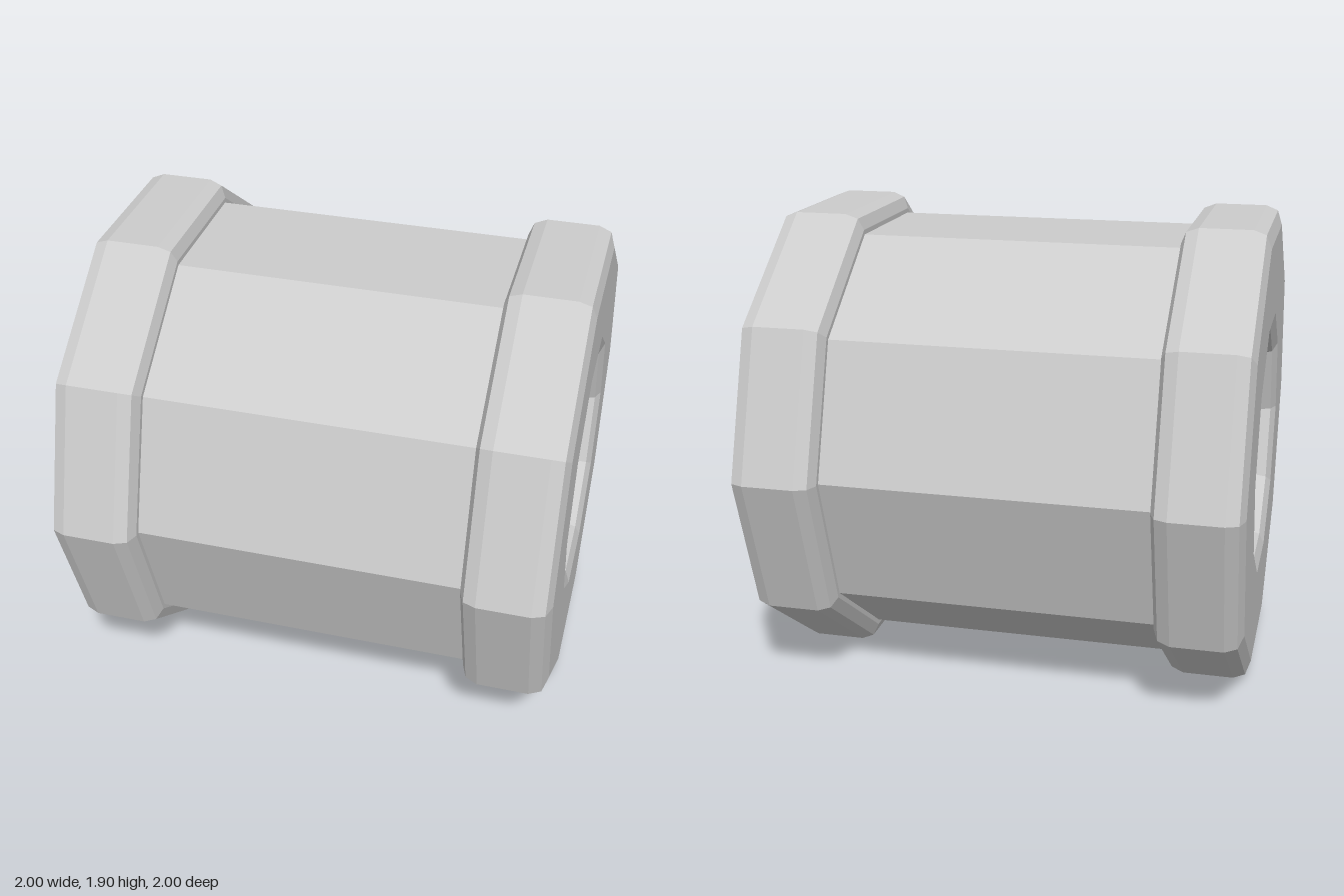
import * as THREE from 'three';

const SIDES = 10;
const CENTRE_Y = 0.951;

export function createModel() {
  const model = new THREE.Group();
  model.name = 'spool';
  const grey = new THREE.MeshStandardMaterial({ color: 0xcccccc, flatShading: true });

  // ten-sided barrel lying along x, its ends form the floors of the recesses
  const barrelGeometry = new THREE.CylinderGeometry(0.91, 0.91, 1.62, SIDES);
  barrelGeometry.rotateZ(-Math.PI / 2);
  const barrel = new THREE.Mesh(barrelGeometry, grey);
  barrel.name = 'barrel';
  barrel.position.y = CENTRE_Y;
  model.add(barrel);

  // bevelled end ring with a chamfered hole: [radius, distance along x]
  const profile = [
    [0.88, 0.65], [0.93, 0.65], [0.98, 0.67], [1, 0.72],
    [1, 0.93], [0.98, 0.98], [0.92, 1],
    [0.55, 1], [0.5, 0.98], [0.48, 0.93], [0.48, 0.8],
  ].map(([r, x]) => new THREE.Vector2(r, x));
  const ringGeometry = new THREE.LatheGeometry(profile, SIDES);
  ringGeometry.rotateZ(-Math.PI / 2);

  for (const side of [1, -1]) {
    const ring = new THREE.Mesh(ringGeometry, grey);
    ring.name = side > 0 ? 'leftEndRing' : 'rightEndRing';
    ring.position.y = CENTRE_Y;
    ring.rotation.y = side > 0 ? 0 : Math.PI;
    model.add(ring);
  }
  return model;
}
